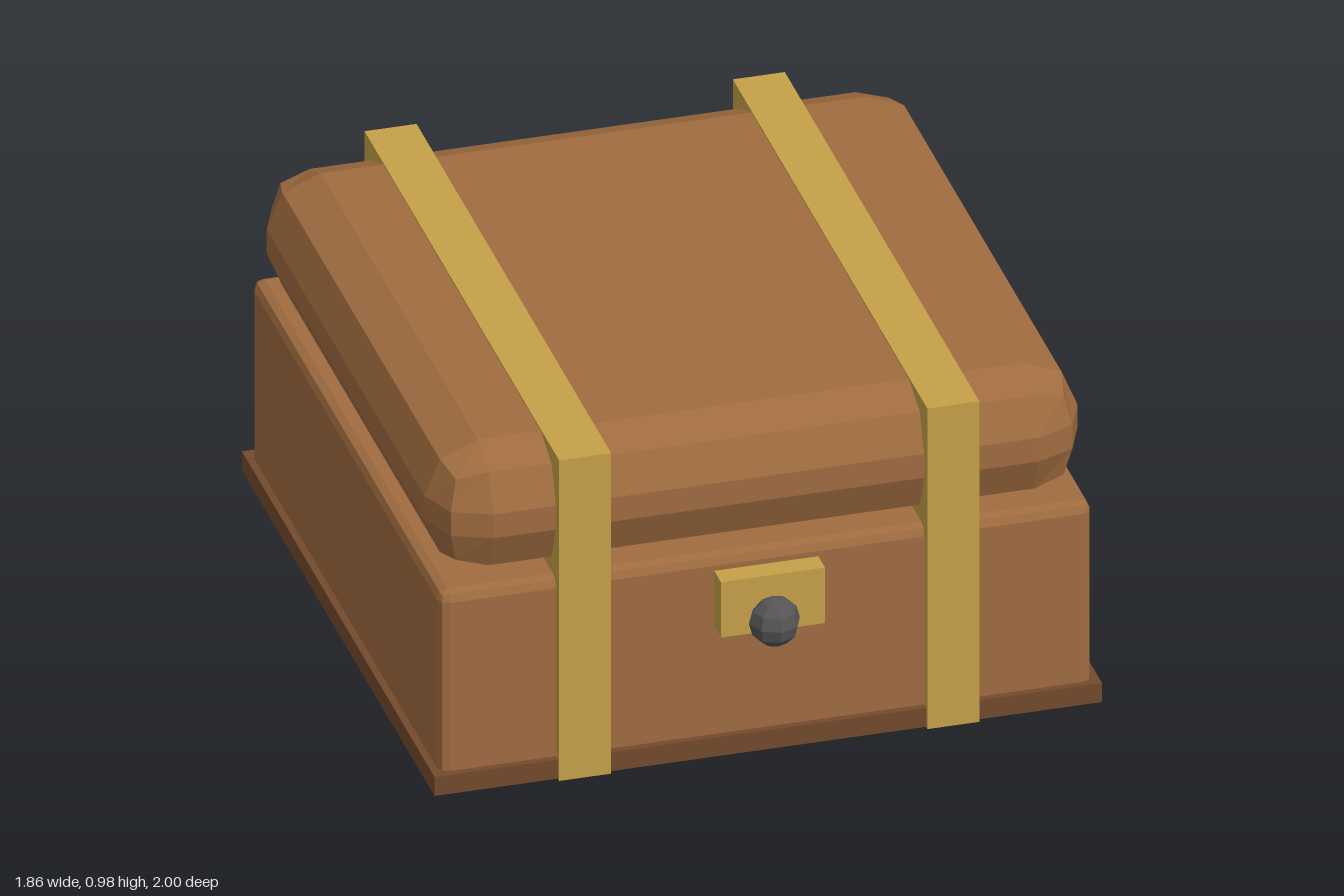
import * as THREE from 'three';

const material = (color) => new THREE.MeshStandardMaterial({ color, flatShading: true });

// Box whose edges carry a two-facet bevel of radius r
function bevelledBox(w, h, d, r) {
  const geo = new THREE.BoxGeometry(3, 3, 3, 3, 3, 3);
  const pos = geo.attributes.position;
  const half = [w / 2 - r, h / 2 - r, d / 2 - r];
  for (let i = 0; i < pos.count; i++) {
    const p = [pos.getX(i), pos.getY(i), pos.getZ(i)];
    // outer grid lines point outward, inner ones bound the flat faces
    const dir = new THREE.Vector3(...p.map((v) => (Math.abs(v) > 1 ? Math.sign(v) : 0))).normalize().toArray();
    pos.setXYZ(i, ...p.map((v, k) => Math.sign(v) * half[k] + dir[k] * r));
  }
  geo.computeVertexNormals();
  return geo;
}

export function createModel() {
  const group = new THREE.Group();
  const leather = material(0xa06c40);
  const trim = material(0x734a2d);
  const gold = material(0xc5a048);
  const iron = material(0x555555);

  const add = (name, geo, mat, x, y, z) => {
    const mesh = new THREE.Mesh(geo, mat);
    mesh.name = name;
    mesh.position.set(x, y, z);
    group.add(mesh);
  };
  const box = (w, h, d) => new THREE.BoxGeometry(w, h, d);
  const cz = -0.06; // the case sits slightly back to make room for the clasp

  // Base plate, body and cushioned lid
  add('basePlate', box(1.86, 0.058, 1.86), trim, 0, 0.031, cz);
  add('body', bevelledBox(1.82, 0.595, 1.82, 0.03), leather, 0, 0.3075, cz);
  add('lid', bevelledBox(1.82, 0.373, 1.82, 0.15), leather, 0, 0.7915, cz);

  // Straps around the case
  for (const side of [-1, 1]) {
    add(side > 0 ? 'leftStrap' : 'rightStrap', box(0.145, 0.983, 1.88), gold, side * 0.513, 0.4915, cz);
  }

  // Clasp and knob
  add('claspPlate', box(0.29, 0.17, 0.075), gold, 0, 0.475, 0.8775);
  add('claspKnob', new THREE.SphereGeometry(0.071, 8, 6), iron, 0, 0.428, 0.929);

  return group;
}
